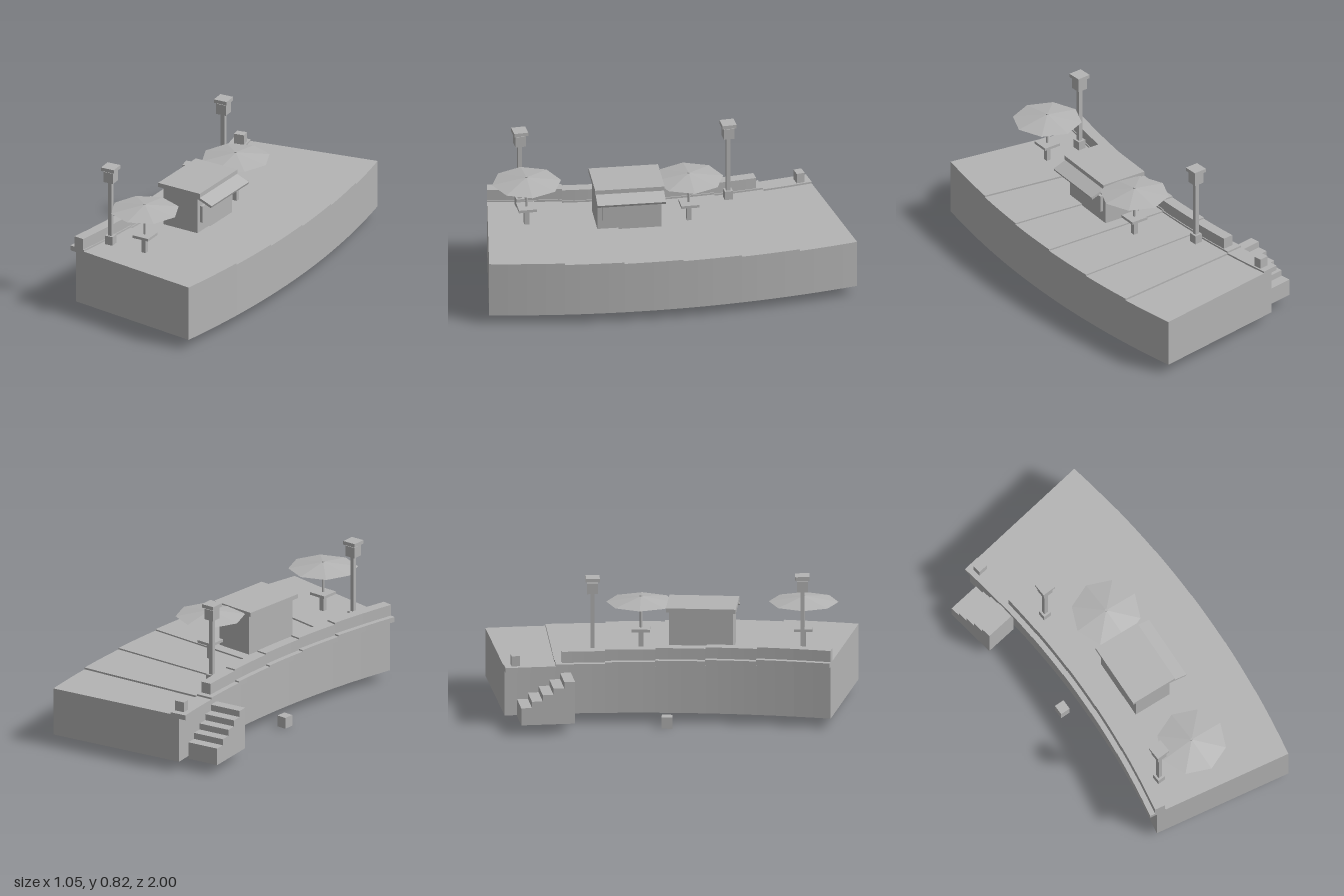
import * as THREE from 'three';

const stone = new THREE.MeshStandardMaterial({ color: 0xb4b4b4 });
stone.name = 'grey stone';

// Terrace section boundaries (z) on the outer and inner curve, and top heights
const OUTER = [1, 0.6, 0.28, -0.04, -0.36, -0.68, -1];
const INNER = [0.876, 0.48, 0.205, -0.065, -0.335, -0.6, -0.87];
const TOPS = [0.363, 0.354, 0.346, 0.338, 0.33, 0.32];
const BASE = 0.055;

function add(parent, name, geometry, x = 0, y = 0, z = 0) {
  const mesh = new THREE.Mesh(geometry, stone);
  mesh.name = name;
  mesh.position.set(x, y, z);
  parent.add(mesh);
  return mesh;
}

// Box standing on y
function box(parent, name, w, h, d, x, y, z) {
  return add(parent, name, new THREE.BoxGeometry(w, h, d), x, y + h / 2, z);
}

function group(parent, name, x, y, z, turn = 0) {
  const g = new THREE.Group();
  g.name = name;
  g.position.set(x, y, z);
  g.rotation.y = turn;
  parent.add(g);
  return g;
}

// Point in section k: f runs along the curve, w goes from inner edge (0) to outer edge (1)
function arcPoint(k, f, w) {
  const zi = THREE.MathUtils.lerp(INNER[k], INNER[k + 1], f);
  const zo = THREE.MathUtils.lerp(OUTER[k], OUTER[k + 1], f);
  const inner = new THREE.Vector2(-0.26 - 0.11 * zi * zi, -zi);
  const outer = new THREE.Vector2(0.525 - 0.097 * zo * zo, -zo);
  return inner.lerp(outer, w);
}

// Curved slab filling section k between two widths and two heights
function curvedSlab(parent, name, k, w0, w1, y0, y1, fEnd = 1) {
  const steps = 4;
  const pts = [];
  for (let i = 0; i <= steps; i++) pts.push(arcPoint(k, (fEnd * i) / steps, w0));
  for (let i = steps; i >= 0; i--) pts.push(arcPoint(k, (fEnd * i) / steps, w1));
  const geo = new THREE.ExtrudeGeometry(new THREE.Shape(pts), { depth: y1 - y0, bevelEnabled: false });
  geo.rotateX(-Math.PI / 2);
  add(parent, name, geo, 0, y0, 0);
}

function lamp(parent, x, y, z) {
  const g = group(parent, 'lampPost', x, y, z, 0.05);
  box(g, 'lampBase', 0.045, 0.05, 0.045, 0, 0, 0);
  box(g, 'lampPole', 0.022, 0.32, 0.022, 0, 0.05, 0);
  box(g, 'lampHead', 0.058, 0.06, 0.058, 0, 0.367, 0);
  box(g, 'lampCap', 0.077, 0.02, 0.077, 0, 0.434, 0);
}

function parasolTable(parent, x, y, z) {
  const g = group(parent, 'parasolTable', x, y, z);
  box(g, 'tableLeg', 0.026, 0.09, 0.026, 0, 0, 0);
  box(g, 'tableTop', 0.098, 0.015, 0.098, 0, 0.09, 0);
  add(g, 'parasolPole', new THREE.CylinderGeometry(0.007, 0.007, 0.19, 8), 0, 0.187, 0);
  const canopy = new THREE.ConeGeometry(0.187, 0.032, 8).toNonIndexed();
  canopy.computeVertexNormals();
  add(g, 'parasolCanopy', canopy, 0, 0.262, 0);
}

export function createModel() {
  const model = new THREE.Group();
  model.name = 'curvedTerrace';

  // Stepped terrace with coping and low parapet along the inner curve
  TOPS.forEach((top, k) => {
    curvedSlab(model, 'terraceSection', k, 0, 1, BASE, top);
    curvedSlab(model, 'coping', k, -0.05, 0.07, top - 0.018, top + 0.01);
    if (k < 5) curvedSlab(model, 'parapet', k, -0.013, 0.063, top + 0.01, top + 0.072, k === 4 ? 0.87 : 1);
  });
  const pier = box(model, 'endPier', 0.055, 0.058, 0.045, -0.315, 0.328, -0.815);
  pier.rotation.y = 0.157;

  // Stairs rising along the inner curve
  const stairs = group(model, 'stairs', -0.53, BASE, -0.775, 0.157);
  for (let i = 0; i < 5; i++) {
    box(stairs, 'step', 0.18, 0.095 + i * 0.0345, 0.058, 0.09, 0, 0.029 + i * 0.058);
  }

  // Small block beside the terrace
  box(model, 'mooringBlock', 0.056, 0.062, 0.058, -0.349, 0, 0);

  // Kiosk with flat roof, serving hatch and sloping awning
  const kiosk = group(model, 'kiosk', 0.003, 0.34, 0.178, -0.04);
  box(kiosk, 'kioskBody', 0.215, 0.235, 0.345, 0, 0, 0);
  box(kiosk, 'kioskRoof', 0.265, 0.024, 0.375, 0, 0.233, 0);
  box(kiosk, 'servingHatch', 0.016, 0.095, 0.29, 0.115, 0.068, 0);
  const awning = box(kiosk, 'awning', 0.115, 0.014, 0.37, 0.15, 0.209, 0);
  awning.rotation.z = -0.37;

  lamp(model, -0.22, TOPS[0], 0.72);
  lamp(model, -0.18, TOPS[4], -0.405);
  parasolTable(model, -0.008, TOPS[0], 0.72);
  parasolTable(model, 0.044, TOPS[3], -0.153);

  return model;
}
